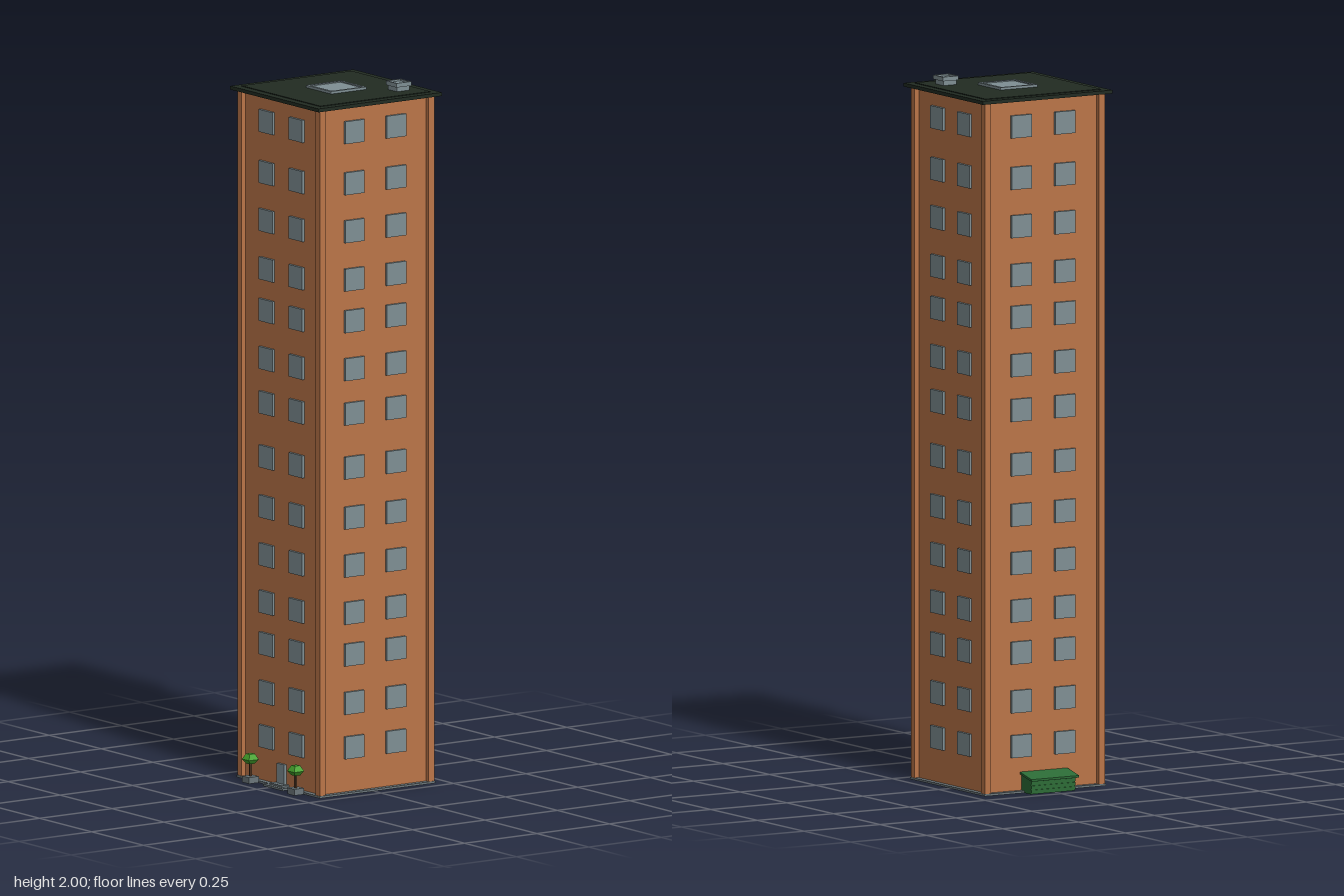
import * as THREE from 'three';

const mat = (name, color) => {
  const m = new THREE.MeshStandardMaterial({ color });
  m.name = name;
  return m;
};

export function createModel() {
  const brick = mat('brick orange', 0xbb7548);
  const glass = mat('blue grey', 0x7f8f94);
  const roofDark = mat('dark roof', 0x212b22);
  const shedGreen = mat('shed green', 0x2c6b36);
  const leaf = mat('leaf green', 0x46a52c);
  const stone = mat('stone grey', 0x6c777b);
  const bark = mat('bark brown', 0x5a3d28);

  const root = new THREE.Group();
  root.name = 'towerBlock';
  const CX = 0.0165, CZ = -0.0115;

  const add = (parent, name, geo, material, x = 0, y = 0, z = 0) => {
    const m = new THREE.Mesh(geo, material);
    m.name = name;
    m.position.set(x, y, z);
    parent.add(m);
    return m;
  };
  // box given by its bottom height y0
  const box = (parent, name, material, w, h, d, x, y0, z) =>
    add(parent, name, new THREE.BoxGeometry(w, h, d), material, x, y0 + h / 2, z);
  // square tube standing at height y0, outer and inner half widths
  const ring = (parent, name, material, outer, inner, h, x, y0, z) => {
    const square = (r) => [[-r, -r], [r, -r], [r, r], [-r, r]].map(([a, b]) => new THREE.Vector2(a, b));
    const s = new THREE.Shape(square(outer));
    s.holes.push(new THREE.Path(square(inner).reverse()));
    const g = new THREE.ExtrudeGeometry(s, { depth: h, bevelEnabled: false });
    g.rotateX(-Math.PI / 2);
    return add(parent, name, g, material, x, y0, z);
  };

  // Building, centred on its own axis
  const tower = new THREE.Group();
  tower.name = 'tower';
  tower.position.set(CX, 0, CZ);
  root.add(tower);

  const WALL = 0.184, CORNER = 0.198, TOP = 1.963;
  ring(tower, 'walls', brick, WALL, WALL - 0.006, TOP, 0, 0, 0);
  ring(tower, 'plinth', stone, 0.2, WALL - 0.006, 0.006, 0, 0, 0);
  for (const sx of [-1, 1]) for (const sz of [-1, 1]) {
    const c = CORNER - 0.01;
    box(tower, 'cornerPost', brick, 0.02, TOP - 0.006, 0.02, sx * c, 0.006, sz * c);
  }

  // Windows: two per floor on each of the four sides
  const floors = [0.132, 0.259, 0.397, 0.516, 0.651, 0.788, 0.931,
    1.085, 1.212, 1.349, 1.468, 1.606, 1.743, 1.889];
  const pane = new THREE.BoxGeometry(0.066, 0.064, 0.014);
  for (let side = 0; side < 4; side++) {
    const face = new THREE.Group();
    face.name = 'windowSide';
    face.rotation.y = side * Math.PI / 2;
    tower.add(face);
    for (const y of floors) for (const s of [-1, 1]) {
      add(face, 'window', pane, glass, s * 0.072, y, WALL + 0.001);
    }
  }

  // Roof slab, raised panel and rooftop units
  box(tower, 'roofSlab', roofDark, 0.426, 0.01, 0.426, 0, TOP, 0);
  box(tower, 'roofPanel', roofDark, 0.38, 0.002, 0.38, 0, TOP + 0.01, 0);
  const hatch = [0.016, -0.0125];
  box(root, 'hatchPanel', glass, 0.104, 0.004, 0.104, hatch[0], 1.975, hatch[1]);
  ring(root, 'hatchFrame', glass, 0.061, 0.052, 0.007, hatch[0], 1.975, hatch[1]);
  const vent = [0.135, -0.143];
  box(root, 'ventBody', glass, 0.043, 0.02, 0.043, vent[0], 1.975, vent[1]);
  ring(root, 'ventCap', glass, 0.026, 0.0215, 0.012, vent[0], 1.988, vent[1]);

  // Entrance
  const front = CZ + WALL;
  box(root, 'door', glass, 0.036, 0.06, 0.014, CX, 0.007, front + 0.001);
  box(root, 'lowerStep', stone, 0.092, 0.006, 0.036, CX, 0, front + 0.0165);
  box(root, 'upperStep', stone, 0.06, 0.005, 0.024, CX, 0.006, front + 0.012);

  // Potted trees beside the door
  const frustum = (top, bottom, h) => {
    const g = new THREE.CylinderGeometry(top * Math.SQRT2, bottom * Math.SQRT2, h, 4).toNonIndexed();
    g.rotateY(Math.PI / 4);
    g.computeVertexNormals();
    return g;
  };
  for (const x of [-0.095, 0.123]) {
    const tree = new THREE.Group();
    tree.name = 'pottedTree';
    tree.position.set(x, 0, 0.204);
    root.add(tree);
    box(tree, 'planter', stone, 0.034, 0.018, 0.034, 0, 0, 0);
    box(tree, 'trunk', bark, 0.006, 0.04, 0.006, 0, 0.018, 0);
    add(tree, 'lowerCrown', frustum(0.017, 0.009, 0.012), leaf, 0, 0.06, 0);
    add(tree, 'upperCrown', frustum(0.009, 0.017, 0.016), leaf, 0, 0.074, 0);
  }

  // Lean-to shed with sloping roof and slatted front
  const shed = new THREE.Group();
  shed.name = 'shed';
  shed.position.z = -0.0075;
  root.add(shed);
  const profile = (name, pts, length) => {
    const s = new THREE.Shape(pts.map(([a, b]) => new THREE.Vector2(a, b)));
    const g = new THREE.ExtrudeGeometry(s, { depth: length, bevelEnabled: false });
    add(shed, name, g, shedGreen, 0, 0, -length / 2);
  };
  profile('shedBody', [[-0.217, 0], [-0.168, 0], [-0.168, 0.052], [-0.217, 0.042]], 0.145);
  profile('shedRoof', [[-0.231, 0.038], [-0.168, 0.052], [-0.168, 0.058], [-0.231, 0.044]], 0.157);
  for (let i = 0; i < 3; i++) {
    box(shed, 'slat', shedGreen, 0.004, 0.008, 0.145, -0.218, 0.004 + i * 0.012, 0);
  }

  return root;
}
